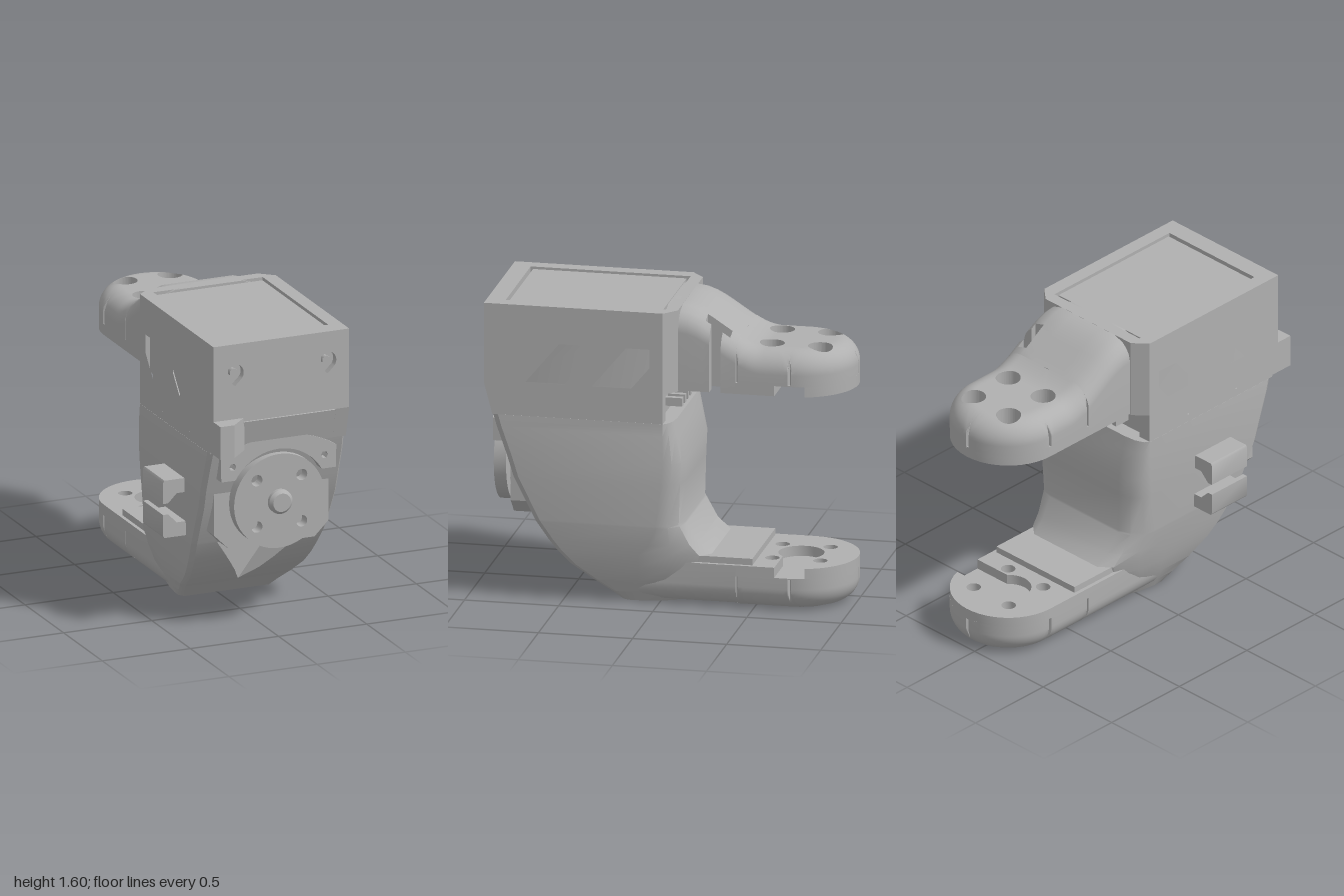
import * as THREE from 'three';
import { toCreasedNormals } from 'three/addons/utils/BufferGeometryUtils.js';

const CX = 0.055; // the body is centred a little to one side
const V = (list) => list.map(([x, y]) => new THREE.Vector2(x, y));
const quad = (P, a, b, c, d) => P.push(...a, ...b, ...c, ...a, ...c, ...d);

function fromTriangles(P) {
  const g = new THREE.BufferGeometry();
  g.setAttribute('position', new THREE.Float32BufferAttribute(P, 3));
  return toCreasedNormals(g, 0.6);
}

// Straight extrusion of an outline along z, with optional hole outlines
function prism(outline, depth, holes = []) {
  const s = new THREE.Shape(V(outline));
  s.holes = holes.map((h) => new THREE.Path(V(h)));
  return toCreasedNormals(new THREE.ExtrudeGeometry(s, { depth, bevelEnabled: false }), 0.6);
}

function arc(cx, cy, r, a0, a1, n = 20) {
  return Array.from({ length: n + 1 }, (_, i) => {
    const a = a0 + ((a1 - a0) * i) / n;
    return [cx + r * Math.cos(a), cy + r * Math.sin(a)];
  });
}
const circle = (x, y, r, n = 20) => arc(x, y, r, 0, Math.PI * 2, n).slice(0, n);

// Body sections: y, half width, front z, side end z, back z, pocket half width
function loft(levels) {
  const P = [];
  const rings = levels.map(([y, hw, zf, zs, zb, p]) => {
    const zp = p ? Math.min(zf, 0.35) : zf;
    const k = p || 0.1;
    const half = [[k, zp], [k + 0.002, zf], [hw - 0.02, zf], [hw, zf - 0.03], [hw, zs],
      [hw * 0.95, zs + (zb - zs) * 0.45], [hw * 0.83, zs + (zb - zs) * 0.85], [hw * 0.65, zb]];
    return [...half, ...half.map(([x, z]) => [-x, z]).reverse()].map(([x, z]) => [x, y, z]);
  });
  const n = rings[0].length;
  for (let i = 0; i < rings.length - 1; i++)
    for (let j = 0; j < n; j++) {
      const k = (j + 1) % n;
      quad(P, rings[i][j], rings[i][k], rings[i + 1][k], rings[i + 1][j]);
    }
  const top = rings[rings.length - 1];
  for (let j = 1; j < n - 1; j++) {
    P.push(...rings[0][0], ...rings[0][j + 1], ...rings[0][j]);
    P.push(...top[0], ...top[j], ...top[j + 1]);
  }
  return fromTriangles(P);
}

// Rounded arm: inner face on y = 0, outer face bulging to +y, tip towards -z
const HW = 0.305, ZC = -0.695, ZE = -0.41, HO = 0.1275;
function arm(add, thickness, zs, side, notched) {
  const top = (x, z) => {
    const d = Math.max(0, HW - (z > ZC ? Math.abs(x) : Math.hypot(x, z - ZC)));
    const r = 0.12;
    return thickness(z) - (d < r ? r - Math.sqrt(r * r - (r - d) ** 2) : 0);
  };
  // four cells, each wrapped around one counterbored hole
  const P = [], N = 64, S = 10;
  for (const sx of [-1, 1]) for (const sz of [-1, 1]) {
    const hx = sx * HO, hz = sz * HO;
    const rays = [];
    for (let j = 0; j <= N; j++) {
      const a = (j / N) * Math.PI * 2, c = Math.cos(a), s = Math.sin(a);
      const lim = [];
      if (c * sx < -1e-6) lim.push(-hx / c);
      if (s * sz < -1e-6) lim.push(-hz / s);
      if (sz > 0) {
        if (c * sx > 1e-6) lim.push((sx * HW - hx) / c);
        if (s > 1e-6) lim.push((ZE - ZC - hz) / s);
      } else {
        const b = hx * c + hz * s;
        lim.push(-b + Math.sqrt(b * b - (hx * hx + hz * hz - HW * HW)));
      }
      const t = Math.min(...lim);
      const at = (r, y) => {
        const x = hx + r * c, z = ZC + hz + r * s;
        return [x, y ?? top(x, z), z];
      };
      const ray = [at(0.038, 0.055), at(0.038, 0.1), at(0.065, 0.1)];
      for (let i = 0; i <= S; i++) ray.push(at(0.065 + (t - 0.065) * (1 - (1 - i / S) ** 2)));
      ray.push(at(t, 0.055));
      rays.push(ray);
    }
    for (let j = 0; j < N; j++)
      for (let i = 0; i < rays[0].length - 1; i++)
        quad(P, rays[j][i], rays[j + 1][i], rays[j + 1][i + 1], rays[j][i + 1]);
  }
  // root of the arm as a height grid, with a keyhole cable notch left out
  const xs = [-0.305, -0.303, -0.295, -0.28, -0.25, -0.19, -0.1, 0, 0.1, 0.19, 0.25, 0.28, 0.295, 0.303, 0.305];
  const keep = (i, j) => {
    if (i < 0 || j < 0 || i >= xs.length - 1 || j >= zs.length - 1) return false;
    const x = (xs[i] + xs[i + 1]) / 2, z = (zs[j] + zs[j + 1]) / 2;
    return !(notched && x > 0.19 && (x < 0.25 ? z > -0.37 && z < -0.24 : z > -0.33 && z < -0.27));
  };
  for (let i = 0; i < xs.length - 1; i++)
    for (let j = 0; j < zs.length - 1; j++) {
      if (!keep(i, j)) continue;
      const c = [[xs[i], zs[j]], [xs[i], zs[j + 1]], [xs[i + 1], zs[j + 1]], [xs[i + 1], zs[j]]];
      const up = c.map(([x, z]) => [x, top(x, z), z]), low = c.map(([x, z]) => [x, 0, z]);
      quad(P, ...up);
      quad(P, ...[...low].reverse());
      [[i - 1, j], [i, j + 1], [i + 1, j], [i, j - 1]].forEach(([m, n], e) => {
        const f = (e + 1) % 4;
        if (!keep(m, n)) quad(P, low[e], low[f], up[f], up[e]);
      });
    }
  add('armShell', fromTriangles(P));
  // inner face with a keyhole recess open to one side
  const holes = [-1, 1].flatMap((a) => [-1, 1].map((b) => circle(a * HO, -ZC + b * HO, 0.038)));
  const start = [[-HW, -ZE], [HW, -ZE]];
  const recess = [[HW, 0.615], ...arc(0, -ZC, 0.12, -0.73, -Math.PI * 2 + 0.73, 24), [0.294, 0.775]];
  const keyed = [...start, ...recess, ...arc(0, -ZC, HW, 0.266, Math.PI)].map(([x, y]) => [x * side, y]);
  add('armInnerFace', prism(keyed, 0.055, holes).rotateX(-Math.PI / 2));
  const plain = [...start, ...arc(0, -ZC, HW, 0, Math.PI)];
  add('recessFloor', prism(plain, 0.005, holes).rotateX(-Math.PI / 2).translate(0, 0.055, 0));
}

export function createModel() {
  const grey = new THREE.MeshStandardMaterial({ color: 0xb0b0b0 });
  grey.name = 'plain grey';
  const model = new THREE.Group();
  model.name = 'servoBracket';
  const group = (name, x = CX, y = 0, z = 0) => {
    const g = new THREE.Group();
    g.name = name;
    g.position.set(x, y, z);
    model.add(g);
    return (part, geo) => {
      const m = new THREE.Mesh(geo, grey);
      m.name = part;
      g.add(m);
      return g;
    };
  };
  const box = (x0, x1, y0, y1, z0, z1) => new THREE.BoxGeometry(x1 - x0, y1 - y0, z1 - z0)
    .translate((x0 + x1) / 2, (y0 + y1) / 2, (z0 + z1) / 2);

  // Body: curved lower hull, upper core, slotted side walls
  const body = group('body');
  body('lowerHull', loft([
    [0, 0.26, 0.2, 0.12, -0.1, 0.001], [0.05, 0.285, 0.26, 0.12, -0.15, 0.001],
    [0.115, 0.315, 0.35, 0.11, -0.2, 0.001], [0.2, 0.34, 0.465, 0.1, -0.25, 0.066],
    [0.27, 0.355, 0.53, 0.1, -0.27, 0.12], [0.33, 0.365, 0.575, 0.04, -0.2, 0.166],
    [0.43, 0.38, 0.64, 0, -0.135, 0.243], [0.44, 0.381, 0.645, 0, -0.13, 0],
    [0.665, 0.39, 0.755, -0.03, -0.135, 0], [0.78, 0.392, 0.79, -0.04, -0.14, 0],
    [0.935, 0.39, 0.845, -0.04, -0.105, 0], [1, 0.386, 0.865, -0.04, -0.09, 0]]));
  body('upperCore', loft([
    [1, 0.33, 0.865, 0, -0.01, 0], [1.165, 0.33, 0.908, 0, -0.01, 0],
    [1.17, 0.33, 0.87, -0.04, -0.1, 0], [1.565, 0.33, 0.87, -0.04, -0.1, 0]]));
  const slot = (dz) => [[0.71, 1.16], [0.51, 1.4], [0.385, 1.4], [0.385, 1.3], [0.6, 1.04]].map(([z, y]) => [dz - z, y]);
  const wall = [[0.865, 1], [0.91, 1.17], [0.87, 1.17], [0.87, 1.6], [-0.04, 1.6], [-0.04, 1]].map(([z, y]) => [-z, y]);
  for (const x of [-0.385, 0.31])
    body('slottedSideWall', prism(wall, 0.075, [slot(0), slot(0.355)]).rotateY(Math.PI / 2).translate(x, 0, 0));
  // Front panel with teardrop screw pockets
  const drop = (x) => [[x, 1.37], ...arc(x, 1.44, 0.05, -0.7, Math.PI + 0.7)];
  body('frontPanel', prism([[-0.385, 1.17], [0.385, 1.17], [0.385, 1.6], [-0.385, 1.6]], 0.04,
    [drop(-0.263), drop(0.262)]).translate(0, 0, 0.87));
  for (const x of [-0.263, 0.262])
    body('screw', new THREE.CylinderGeometry(0.024, 0.024, 0.03, 6).rotateX(Math.PI / 2).translate(x, 1.44, 0.88));
  // Top rim and recessed lid
  body('frontRim', box(-0.315, 0.315, 1.56, 1.6, 0.81, 0.88));
  body('rearRim', prism([[-0.385, 0.04], [0.385, 0.04], [0.31, 0.105], [-0.31, 0.105]], 0.44)
    .rotateX(-Math.PI / 2).translate(0, 1.16, 0));
  body('lid', box(-0.3, 0.3, 1.56, 1.59, -0.02, 0.795));
  // Connector pins in the rear opening
  for (let i = 0; i < 6; i++)
    body('connectorPin', box(-0.2 + i * 0.07, -0.17 + i * 0.07, 1.04, 1.085, -0.1, 0));

  // Upper and lower arms
  const upper = group('upperArm', CX, 1.165);
  arm(upper, (z) => 0.235 + 0.2 * THREE.MathUtils.smoothstep(z, -0.55, -0.1),
    [ZE, -0.37, -0.33, -0.27, -0.24, -0.2, -0.15, -0.1, -0.03], 1, true);
  const lower = group('lowerArm', CX, 0.235);
  arm(lower, () => 0.235, [ZE, -0.1, 0.15], -1, false);
  const step = lower('raisedStep', box(-0.285, 0.285, -0.035, 0, -0.495, 0.1));
  step.rotation.z = Math.PI;

  // Servo face, arched flange, horn disc and hub
  const servo = group('servo');
  servo('servoFace', prism([[-0.245, 0.44], [0.245, 0.44], [0.325, 0.52], [0.325, 0.96], [-0.325, 0.96], [-0.325, 0.52]],
    0.43).translate(0, 0, 0.35));
  const arch = [...arc(0, 0.46, 0.6, 0.994, Math.PI - 0.994), [-0.325, 0.84], [-0.245, 0.84],
    ...arc(0, 0.7, 0.282, Math.PI - 0.52, 0.52), [0.245, 0.84], [0.325, 0.84]];
  servo('archedFlange', prism(arch, 0.12, [circle(-0.26, 0.915, 0.02, 6), circle(0.26, 0.915, 0.02, 6)])
    .translate(0, 0, 0.755));
  const hornHoles = [-1, 1].flatMap((a) => [-1, 1].map((b) => circle(a * 0.127, 0.7 + b * 0.127, 0.031)));
  servo('hornDisc', prism(circle(0, 0.7, 0.257, 48), 0.065, hornHoles).translate(0, 0, 0.82));
  const round = (r0, r1, z0, z1) => new THREE.CylinderGeometry(r1, r0, z1 - z0, 32)
    .rotateX(Math.PI / 2).translate(0, 0.7, (z0 + z1) / 2);
  servo('hornSpindle', round(0.1, 0.1, 0.77, 0.83));
  servo('hubBase', round(0.066, 0.066, 0.88, 0.905));
  servo('hubCap', round(0.066, 0.05, 0.905, 0.922));

  // Cable clip jaws on the side
  const clip = group('cableClip', 0, 0.6175, 0.29);
  for (const s of [1, -1]) {
    const jaw = [[-0.32, 0.157], [-0.45, 0.157], [-0.458, 0.145], [-0.458, 0.03], [-0.43, 0.03], [-0.38, 0.08], [-0.32, 0.08]];
    clip('clipJaw', prism(jaw.map(([x, y]) => [x, y * s]), 0.26));
  }

  // Wedge block on the front corner
  const wedge = group('frontWedge', 0, 1.01);
  wedge('wedgeBlock', prism([[-0.33, -0.8], [-0.33, -1], [-0.25, -1], [-0.15, -0.9], [-0.15, -0.8]], 0.18)
    .rotateX(-Math.PI / 2).scale(1, 1, 1));
  return model;
}
